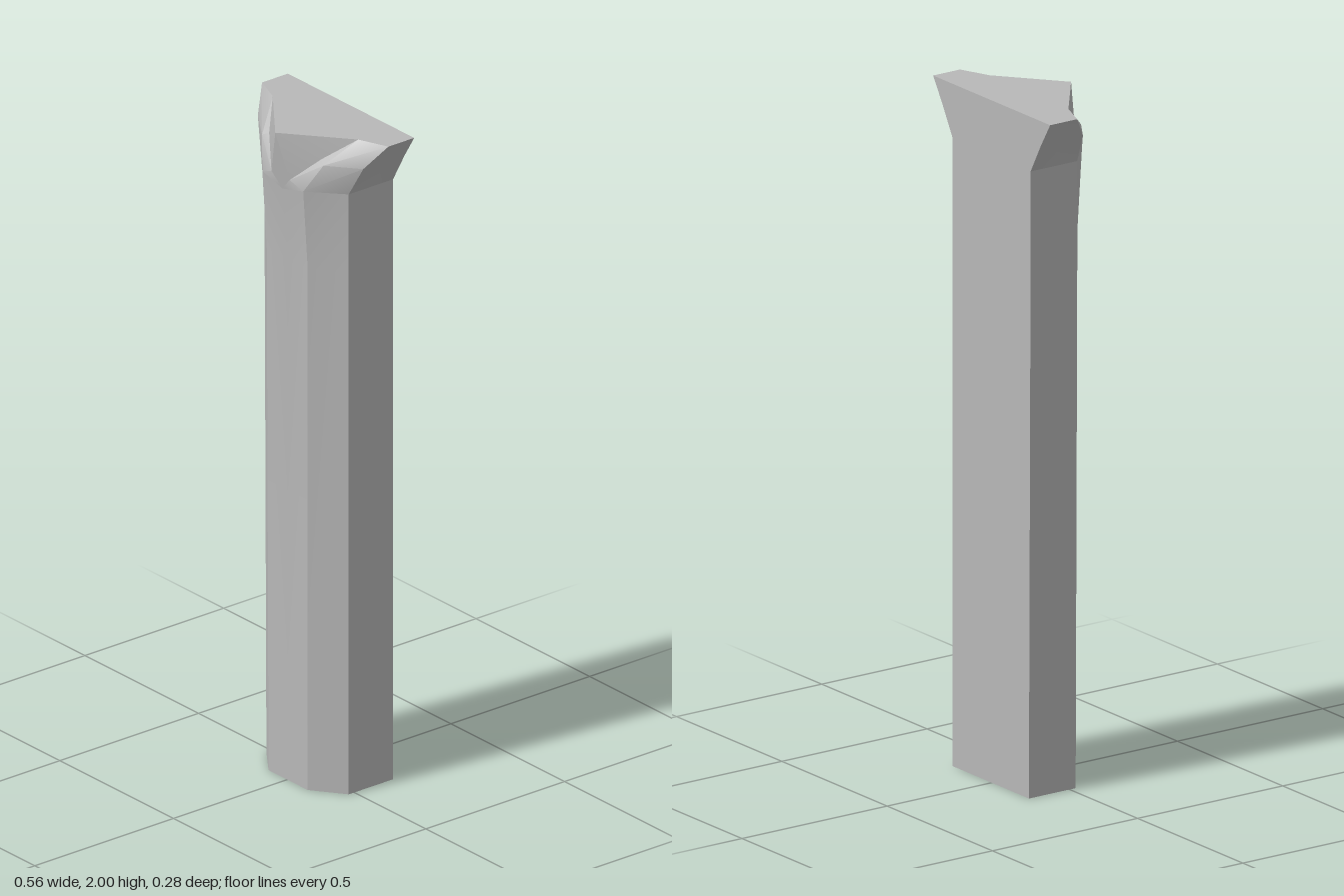
import * as THREE from 'three';
import { toCreasedNormals } from 'three/addons/utils/BufferGeometryUtils.js';

// Builds a mesh from convex faces of the +x half, mirrored to the -x half.
function mirroredMesh(name, faces, material) {
  const pos = [];
  for (const side of [1, -1]) {
    const place = ([x, y, z]) => {
      if (x < 0.01) return [x, y, z]; // points on the centre line are shared
      const taper = y < 1 ? 0.008 : 0; // the right flank leans very slightly
      return [side > 0 ? x : taper - x, y, z];
    };
    for (const face of faces) {
      for (let i = 1; i < face.length - 1; i++) {
        const tri = [face[0], face[i], face[i + 1]];
        if (side < 0) tri.reverse();
        tri.forEach((p) => pos.push(...place(p)));
      }
    }
  }
  const geo = new THREE.BufferGeometry();
  geo.setAttribute('position', new THREE.Float32BufferAttribute(pos, 3));
  const mesh = new THREE.Mesh(toCreasedNormals(geo, 0.5), material);
  mesh.name = name;
  return mesh;
}

// Quads between neighbouring cross-sections.
function loft(rings) {
  const faces = [];
  for (let r = 0; r < rings.length - 1; r++) {
    for (let i = 0; i < rings[r].length - 1; i++) {
      faces.push([rings[r][i], rings[r][i + 1], rings[r + 1][i + 1], rings[r + 1][i]]);
    }
  }
  return faces;
}

export function createModel() {
  const stone = new THREE.MeshStandardMaterial({ color: 0xb8b8b8, side: THREE.DoubleSide });
  stone.name = 'grey stone';
  const group = new THREE.Group();
  group.name = 'column';

  // Half cross-section: front centre, front corner, side corner, back corner, back centre
  const section = (y, front, bottomY = y) => [
    [0.003, bottomY, front + (y > 1.7 ? 0.004 : 0)],
    [0.09, y, front],
    [0.185, y, 0.02],
    [0.185, y, -0.14],
    [0, y, -0.14],
  ];
  const neck = section(1.84, 0.106, 1.82);
  group.add(mirroredMesh('shaft', loft([section(0, 0.09), section(1.6, 0.09), neck]), stone));

  // Flared capital: chamfer, flank and back
  const [apex, corner] = neck;
  const cornerMid = [0.135, 1.925, 0.07];
  const tip = [0.188, 2, -0.012];
  const middle = [cornerMid, [0.232, 1.93, 0.006], [0.235, 1.93, -0.14], [0, 1.93, -0.14]];
  const rim = [tip, [0.278, 2, -0.047], [0.278, 2, -0.14], [0, 2, -0.14]];
  group.add(mirroredMesh('capitalFlare', loft([neck.slice(1), middle, rim]), stone));

  // Curved ridge running from the front apex out to the rim
  const ridgeLow = [0.04, 1.86, 0.114];
  const ridgeHigh = [0.115, 1.935, 0.061];
  group.add(mirroredMesh('capitalRidge', [
    [apex, corner, ridgeLow],
    [ridgeLow, corner, cornerMid, ridgeHigh],
    [ridgeHigh, cornerMid, tip],
  ], stone));

  // Pointed front wedge between the two ridges
  const point = [0.006, 2, 0.138];
  group.add(mirroredMesh('frontWedge', [
    [point, apex, ridgeLow],
    [point, ridgeLow, ridgeHigh],
    [point, ridgeHigh, tip],
  ], stone));

  // Flat top
  group.add(mirroredMesh('top', [[rim[3], point, rim[0], rim[1], rim[2]]], stone));
  return group;
}
